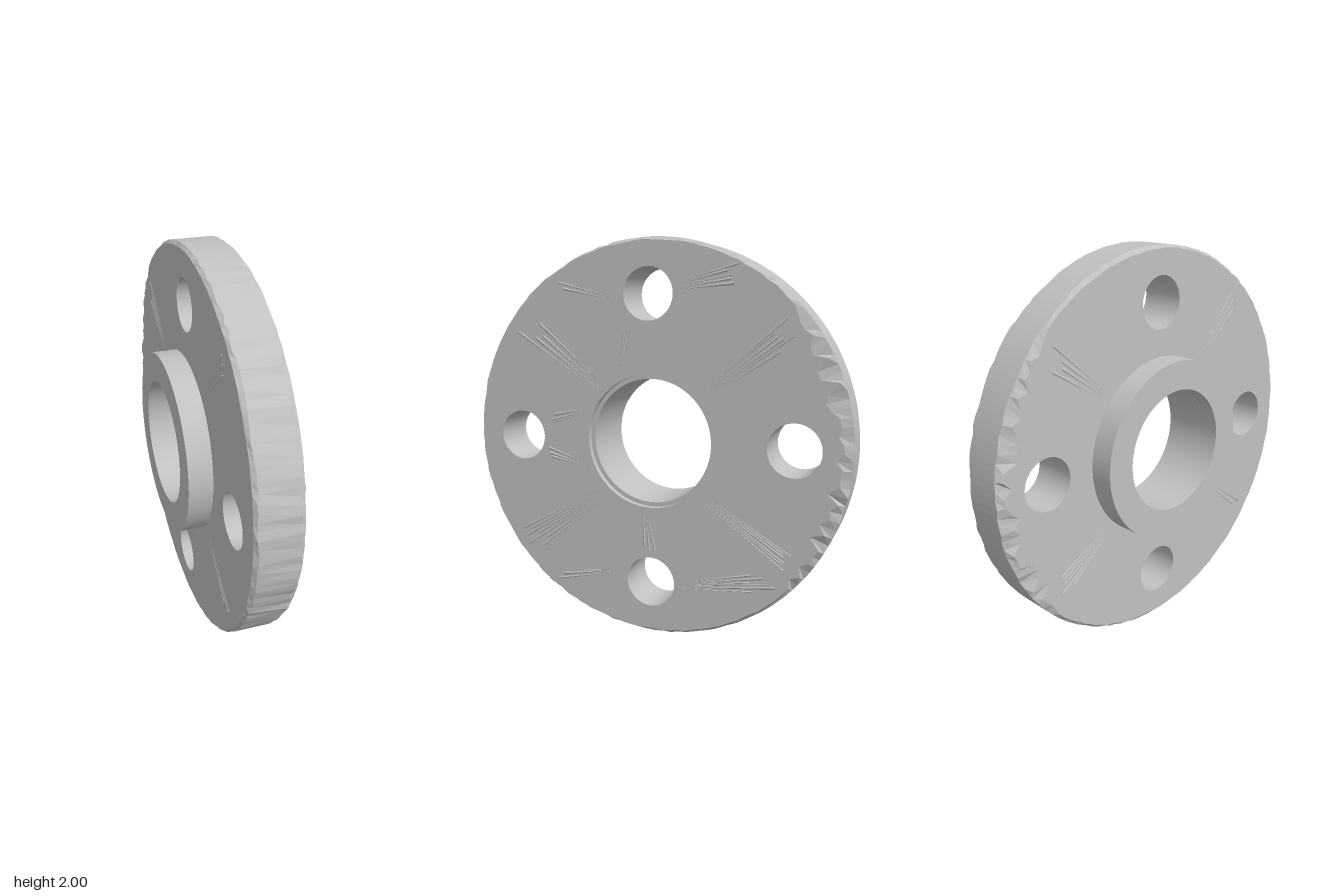
import * as THREE from 'three';
import { toCreasedNormals } from 'three/addons/utils/BufferGeometryUtils.js';

const FRONT = 0.168, BACK = -0.06;      // faces of the disc along its axis
const BORE = 0.315, RECESS = 0.337;     // centre hole and its shallow step
const BOLT = 0.13, BOLT_CIRCLE = 0.73;
const SEGS = 150;

function seeded(seed) {
  return () => (seed = (seed * 16807) % 2147483647) / 2147483647;
}

function triangles(list) {
  const g = new THREE.BufferGeometry();
  g.setAttribute('position', new THREE.Float32BufferAttribute(list.flat(2), 3));
  g.computeVertexNormals();
  return g;
}

// Turned surface around the local z axis, with sharp edges
function turned(profile, segments) {
  const g = new THREE.LatheGeometry(profile.map(p => new THREE.Vector2(...p)), segments);
  g.rotateX(Math.PI / 2);
  return toCreasedNormals(g, 0.5);
}

// Flat face with an uneven outline, a centre hole and four bolt holes
function faceGeometry(outline, hole, z, flipped) {
  const shape = new THREE.Shape(outline.map(p => new THREE.Vector2(p[0], p[1])));
  const addHole = (x, y, r) => shape.holes.push(new THREE.Path().absarc(x, y, r, 0, Math.PI * 2, true));
  addHole(0, 0, hole);
  for (let i = 0; i < 4; i++) {
    const a = i * Math.PI / 2;
    addHole(Math.cos(a) * BOLT_CIRCLE, Math.sin(a) * BOLT_CIRCLE, BOLT);
  }
  const g = new THREE.ShapeGeometry(shape, 32);
  g.translate(0, 0, z);
  if (flipped) {
    g.index.array.reverse();
    g.computeVertexNormals();
  }
  return g;
}

// Cross-sections of the rim: chipped face edges on one side, dented wall on the other
function rimRings() {
  const rand = seeded(71);
  const rings = [[], [], [], []];
  for (let i = 0; i < SEGS; i++) {
    const a = i / SEGS * Math.PI * 2;
    const c = Math.cos(a), s = Math.sin(a);
    const chipped = THREE.MathUtils.smoothstep(c, 0.68, 0.85);
    const dented = THREE.MathUtils.smoothstep(-c, -0.1, 0.4);
    const put = (k, r, z) => rings[k].push([c * r, s * r, z]);
    put(0, 0.988 - 0.008 * rand() - chipped * 0.09 * rand(), FRONT);
    put(1, 1 - dented * 0.013 * rand(), FRONT - 0.012 - 0.016 * rand());
    put(2, 1 - dented * 0.006 * rand(), BACK + 0.012 + 0.014 * rand());
    put(3, 0.988 - 0.008 * rand() - chipped * 0.09 * rand(), BACK);
  }
  return rings;
}

function rimGeometry(rings) {
  const list = [];
  for (let k = 0; k < 3; k++) {
    for (let i = 0; i < SEGS; i++) {
      const j = (i + 1) % SEGS;
      const a = rings[k][i], b = rings[k][j], c = rings[k + 1][i], d = rings[k + 1][j];
      list.push([a, c, b], [b, c, d]);
    }
  }
  return triangles(list);
}

// Bundles of shallow tapering burrs: x0, y0, x1, y1, spread, count
const FRONT_BURRS = [
  [-0.25, 0.25, -0.71, 0.59, 0.07, 4],
  [0.28, 0.24, 0.72, 0.57, 0.06, 6],
  [-0.24, -0.27, -0.74, -0.59, 0.08, 7],
  [0.27, -0.25, 0.73, -0.56, 0.05, 6],
  [0.15, 0.76, 0.47, 0.82, 0.05, 5],
  [0.15, -0.73, 0.65, -0.65, 0.05, 6],
  [-0.16, 0.7, -0.53, 0.79, 0.03, 2],
  [-0.16, -0.69, -0.55, -0.76, 0.03, 3],
  [-0.33, 0.15, -0.59, 0.08, 0.03, 3],
  [-0.33, -0.15, -0.59, -0.08, 0.03, 3],
  [-0.02, -0.36, 0, -0.59, 0.04, 3],
  [-0.16, 0.33, -0.1, 0.58, 0.03, 3],
];
const BACK_BURRS = [
  [0.36, 0.33, 0.7, 0.59, 0.06, 4],
  [0.35, -0.34, 0.7, -0.58, 0.06, 5],
  [-0.3, 0.4, -0.58, 0.7, 0.05, 3],
  [-0.38, -0.32, -0.72, -0.58, 0.04, 2],
];

// side is 1 for the outer face and -1 for the hub side
function burrGeometry(bundles, z, side) {
  const rand = seeded(1234);
  const list = [];
  for (const [x0, y0, x1, y1, spread, count] of bundles) {
    const len = Math.hypot(x1 - x0, y1 - y0);
    const nx = -(y1 - y0) / len, ny = (x1 - x0) / len;
    for (let i = 0; i < count; i++) {
      const t = (i + 0.3 + 0.4 * rand()) / count * 2 - 1;
      const near = 0.12 * rand(), far = 0.75 + 0.25 * rand();
      const half = (0.003 + 0.006 * rand()) * side;
      const at = (u, off, h) => [x0 + (x1 - x0) * u + nx * off, y0 + (y1 - y0) * u + ny * off, z + h];
      const end = t * spread;
      const tip = at(near, end * 0.4, 0);
      const left = at(far, end + half, 0), right = at(far, end - half, 0);
      const crest = at(far, end, 0.004 * side);
      list.push([tip, right, crest], [tip, crest, left], [right, left, crest]);
    }
  }
  return triangles(list);
}

export function createModel() {
  const steel = new THREE.MeshStandardMaterial({ color: 0xc1c1c1 });
  steel.name = 'light steel grey';
  const flange = new THREE.Group();
  flange.name = 'flange';
  const add = (name, geometry) => {
    const m = new THREE.Mesh(geometry, steel);
    m.name = name;
    flange.add(m);
    return m;
  };

  // Disc
  const rings = rimRings();
  add('rim', rimGeometry(rings));
  add('outerFace', faceGeometry(rings[0], RECESS, FRONT, false));
  add('hubSideFace', faceGeometry(rings[3], BORE, BACK, true));
  add('outerFaceBurrs', burrGeometry(FRONT_BURRS, FRONT, 1));
  add('hubSideBurrs', burrGeometry(BACK_BURRS, BACK, -1));

  // Stepped bore and raised hub in one turned profile
  add('hubAndBore', turned([
    [RECESS, FRONT], [RECESS, FRONT - 0.03], [BORE, FRONT - 0.03],
    [BORE, -0.18], [0.463, -0.18], [0.463, BACK],
  ], 96));

  // Bolt hole walls
  const wall = turned([[BOLT, FRONT], [BOLT, BACK]], 64);
  for (let i = 0; i < 4; i++) {
    const a = i * Math.PI / 2;
    add('boltHole' + (i + 1), wall).position.set(Math.cos(a) * BOLT_CIRCLE, Math.sin(a) * BOLT_CIRCLE, 0);
  }

  // Stand the disc on edge, facing sideways with a slight lean
  flange.rotation.y = Math.PI / 2;
  const lean = new THREE.Group();
  lean.name = 'leaningFlange';
  lean.rotation.set(0.01, -0.007, 0.006);
  lean.position.y = 1;
  lean.add(flange);
  const model = new THREE.Group();
  model.name = 'pipeFlange';
  model.add(lean);
  return model;
}
